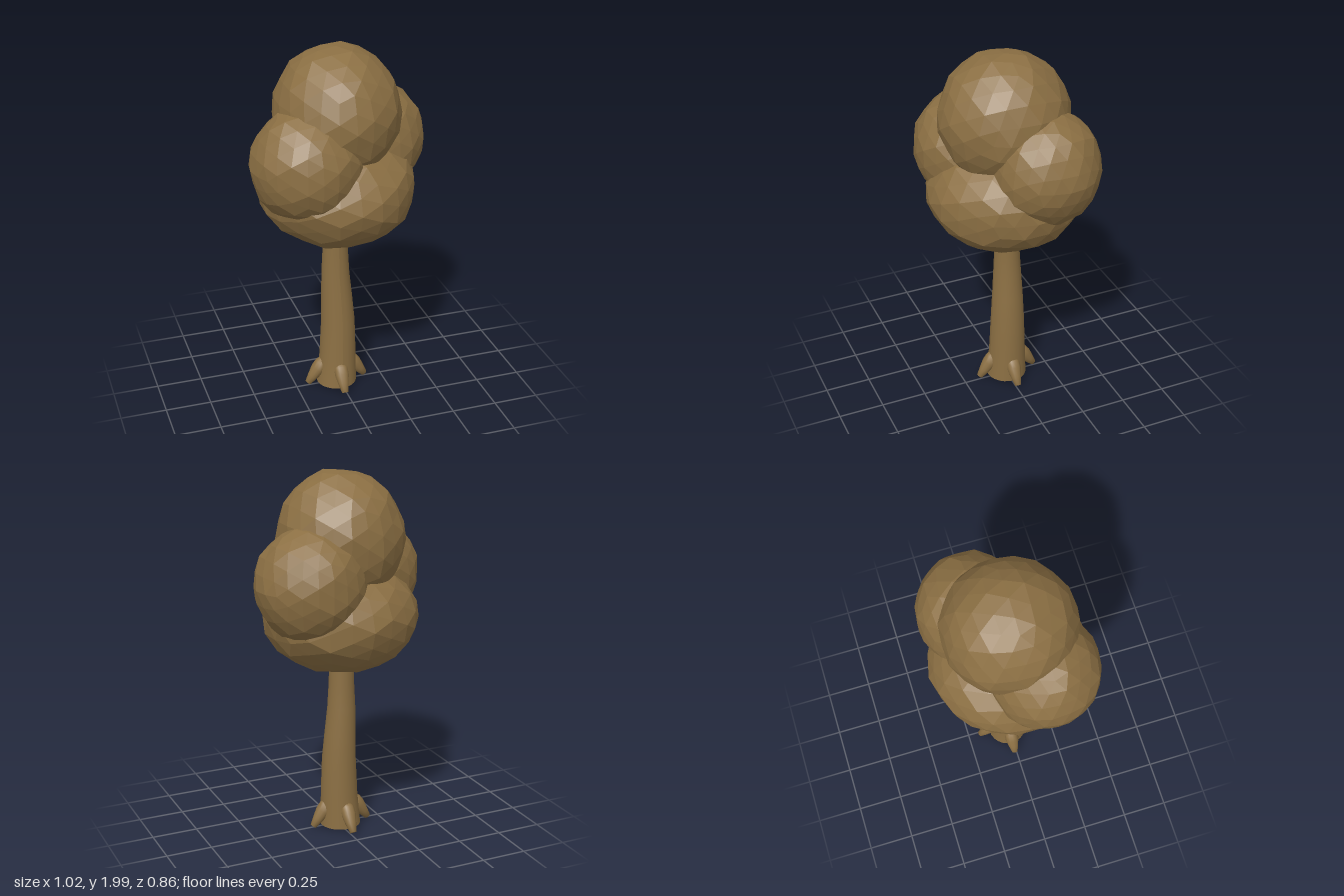
import * as THREE from 'three';

export function createModel() {
  const tree = new THREE.Group();
  tree.name = 'tree';
  // Double sided because the trunk is an open tube
  const brown = new THREE.MeshStandardMaterial({ color: 0x8b6f43, side: THREE.DoubleSide });
  brown.name = 'brown';

  function add(name, geometry, parent = tree) {
    const mesh = new THREE.Mesh(geometry, brown);
    mesh.name = name;
    parent.add(mesh);
    return mesh;
  }

  // Repeatable noise from -1 to 1, equal for vertices that share a position
  function noise(v, seed) {
    const [a, b, c] = v.toArray().map((n) => Math.round(n * 1000));
    const s = Math.sin(a * 0.1271 + b * 0.3117 + c * 0.0747 + seed * 5.3) * 4375.85;
    return (s - Math.floor(s)) * 2 - 1;
  }

  // Faceted foliage clump: an icosphere with uneven vertices
  function clump(name, center, radii, seed) {
    const geo = new THREE.IcosahedronGeometry(1, 3);
    const pos = geo.attributes.position;
    const v = new THREE.Vector3();
    for (let i = 0; i < pos.count; i++) {
      v.fromBufferAttribute(pos, i);
      v.multiplyScalar(1.005 + 0.022 * noise(v, seed));
      pos.setXYZ(i, v.x, v.y, v.z);
    }
    geo.scale(...radii);
    geo.translate(...center);
    geo.computeVertexNormals(); // unindexed, so every face stays flat
    return add(name, geo);
  }
  clump('lowerFoliage', [-0.01, 1.227, -0.003], [0.417, 0.308, 0.42], 1);
  clump('topFoliage', [-0.015, 1.64, 0], [0.335, 0.358, 0.347], 2);
  clump('rightFoliage', [-0.21, 1.425, 0.125], [0.298, 0.305, 0.291], 3);
  clump('leftFoliage', [0.21, 1.435, -0.13], [0.298, 0.305, 0.291], 4);

  // Gently bent trunk: rings of [y, x, z, radius] from the ground up
  const rings = [
    [0.013, -0.012, -0.008, 0.113], [0.1, -0.008, -0.009, 0.107], [0.2, -0.004, -0.01, 0.102],
    [0.4, -0.002, -0.011, 0.094], [0.55, -0.008, -0.014, 0.086], [0.7, -0.015, -0.015, 0.077],
    [0.85, -0.016, -0.014, 0.069], [1.05, -0.016, -0.013, 0.067],
  ];
  const trunk = new THREE.CylinderGeometry(1, 1, 1, 24, rings.length - 1, true);
  const p = trunk.attributes.position;
  for (let i = 0; i < p.count; i++) {
    const k = Math.round((p.getY(i) + 0.5) * (rings.length - 1));
    const [y, x, z, r] = rings[k];
    p.setXYZ(i, x + p.getX(i) * r, y, z + p.getZ(i) * r);
  }
  trunk.computeVertexNormals();
  add('trunk', trunk);

  // Four roots, thick at the trunk and narrow at the ground
  const roots = new THREE.Group();
  roots.name = 'roots';
  roots.position.set(-0.013, 0, -0.01);
  tree.add(roots);
  const tip = new THREE.Vector3(0.167, 0.016, 0);
  const axis = new THREE.Vector3(0.05, 0.18, 0).sub(tip).normalize();
  const profile = [[0, 0], [0.018, 0], [0.03, 0.05], [0.04, 0.1], [0.039, 0.14], [0.027, 0.172], [0, 0.19]]
    .map(([r, y]) => new THREE.Vector2(r, y));
  const tilt = new THREE.Quaternion().setFromUnitVectors(new THREE.Vector3(0, 1, 0), axis);
  for (let i = 0; i < 4; i++) {
    const geo = new THREE.LatheGeometry(profile, 12);
    geo.applyQuaternion(tilt);
    geo.translate(tip.x, tip.y, tip.z);
    add('root' + (i + 1), geo, roots).rotation.y = i * Math.PI / 2;
  }
  return tree;
}
